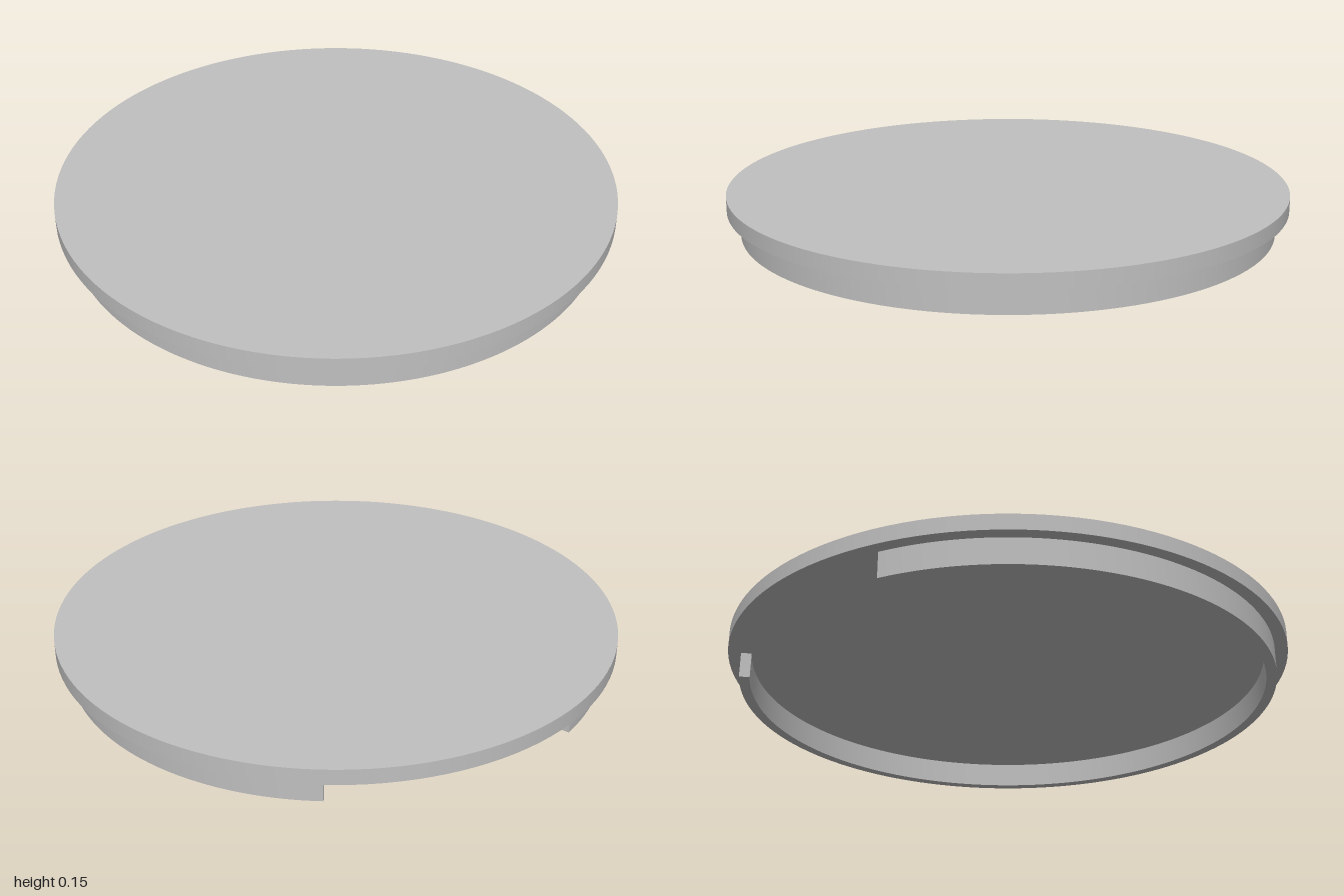
import * as THREE from 'three';
import { toCreasedNormals } from 'three/addons/utils/BufferGeometryUtils.js';

const RIM_Y = 0.092;  // height of the skirt, underside of the disc
const TOP_Y = 0.147;
const OUTER = 0.955;
const INNER = 0.918;
const HALF_GAP = THREE.MathUtils.degToRad(27.7);

export function createModel() {
  const group = new THREE.Group();
  group.name = 'lid';
  const grey = new THREE.MeshStandardMaterial({ color: 0xc0c0c0 });
  grey.name = 'grey';

  // Flat round top plate
  const plate = new THREE.Mesh(new THREE.CylinderGeometry(1, 1, TOP_Y - RIM_Y, 128), grey);
  plate.name = 'topPlate';
  plate.position.y = (TOP_Y + RIM_Y) / 2;
  group.add(plate);

  // Thin skirt under the plate, open in a radial gap at the back
  const start = Math.PI / 2 + HALF_GAP;
  const end = Math.PI * 2.5 - HALF_GAP;
  const section = new THREE.Shape();
  section.absarc(0, 0, OUTER, start, end, false);
  section.absarc(0, 0, INNER, end, start, true);
  section.closePath();
  const ring = new THREE.ExtrudeGeometry(section, { depth: RIM_Y, bevelEnabled: false, curveSegments: 110 });
  ring.rotateX(-Math.PI / 2);
  const skirt = new THREE.Mesh(toCreasedNormals(ring, Math.PI / 6), grey);
  skirt.name = 'skirt';
  group.add(skirt);

  return group;
}
